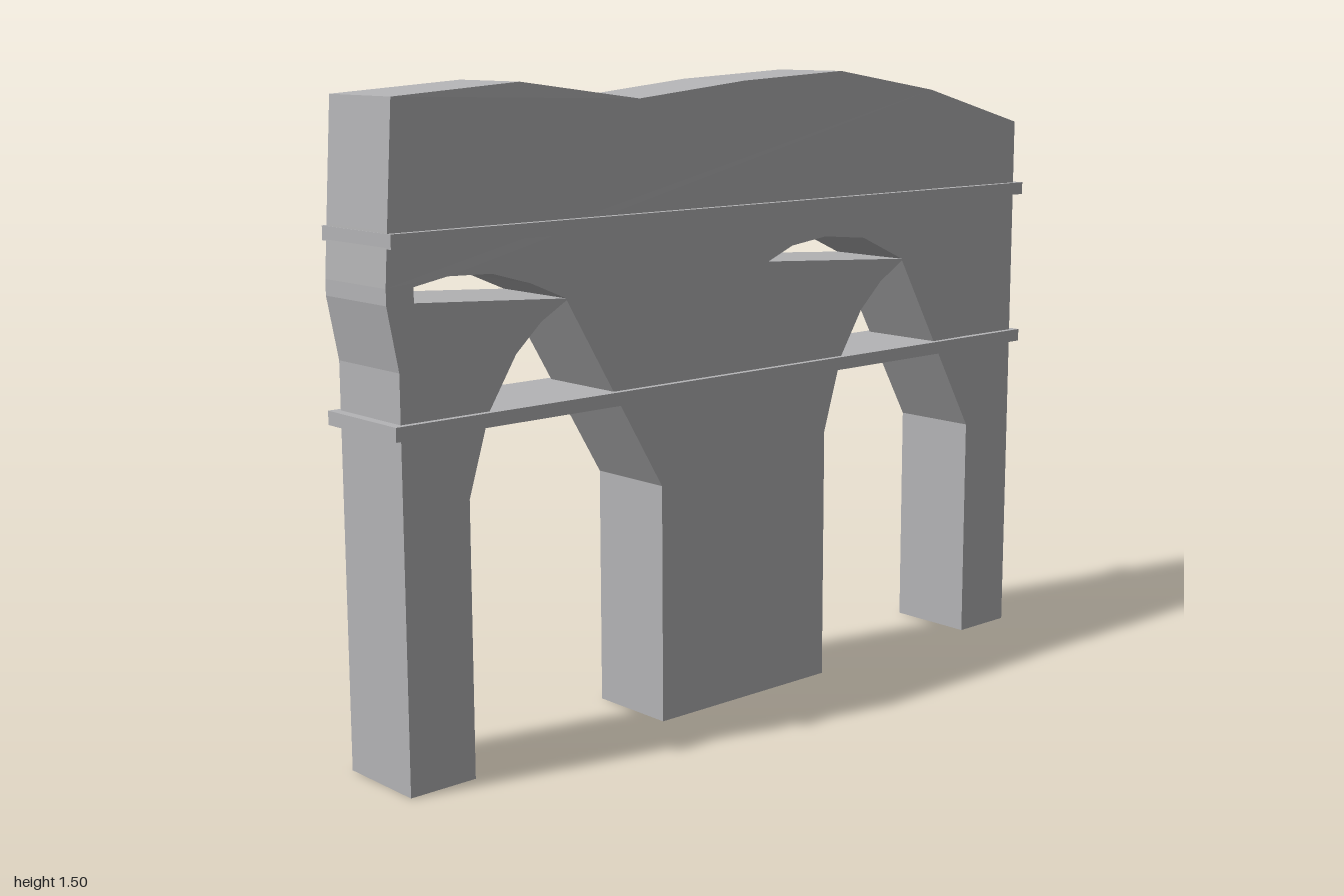
import * as THREE from 'three';

const DEPTH = 0.224;
const pts = (list) => list.map(([x, y]) => new THREE.Vector2(x, y));

export function createModel() {
  const group = new THREE.Group();
  group.name = 'archedWall';
  const stone = new THREE.MeshStandardMaterial({ color: 0xb4b4b6, flatShading: true });
  stone.name = 'grey stone';

  // Wall outline: piers, two lopsided arches, uneven ends and broken top
  const shape = new THREE.Shape(pts([
    [-0.973, 0], [-0.805, 0],
    [-0.805, 0.62], [-0.75, 0.8], [-0.676, 0.917], [-0.607, 0.98], [-0.537, 1.02],
    [-0.265, 0.565], [-0.265, 0], [0.267, 0],
    [0.267, 0.62], [0.323, 0.8], [0.393, 0.91], [0.463, 0.975], [0.542, 1.022],
    [0.805, 0.565], [0.805, 0], [0.973, 0],
    [0.975, 1.355], [0.65, 1.445], [0.32, 1.497], [0, 1.48], [-0.32, 1.447], [-0.65, 1.49], [-0.976, 1.467],
    [-0.993, 1.2], [-1, 1.085], [-1, 1.05], [-0.973, 0.91],
  ]));

  // Slits above the arches, each meeting its arch at the crown
  const slits = [
    [[-0.933, 1.05], [-0.933, 1.083], [-0.848, 1.098], [-0.735, 1.094], [-0.634, 1.065], [-0.538, 1.024]],
    [[0.072, 1.056], [0.152, 1.088], [0.265, 1.102], [0.4, 1.089], [0.541, 1.026]],
  ];
  for (const slit of slits) shape.holes.push(new THREE.Path(pts(slit)));

  const geometry = new THREE.ExtrudeGeometry(shape, { depth: DEPTH, bevelEnabled: false, curveSegments: 1 });
  geometry.translate(0, 0, -DEPTH / 2);

  // The top edge leans in slightly between the corners
  const p = geometry.attributes.position;
  for (let i = 0; i < p.count; i++) {
    if (p.getY(i) > 1.4 && Math.abs(p.getX(i)) < 0.9) p.setZ(i, p.getZ(i) * 0.94);
  }
  geometry.computeVertexNormals();
  const wall = new THREE.Mesh(geometry, stone);
  wall.name = 'wall';
  group.add(wall);

  // String courses running right through the wall
  for (const [name, y] of [['lowerBand', 0.787], ['upperBand', 1.18]]) {
    const band = new THREE.Mesh(new THREE.BoxGeometry(1.99, 0.031, 0.254), stone);
    band.name = name;
    band.position.y = y;
    group.add(band);
  }
  return group;
}
